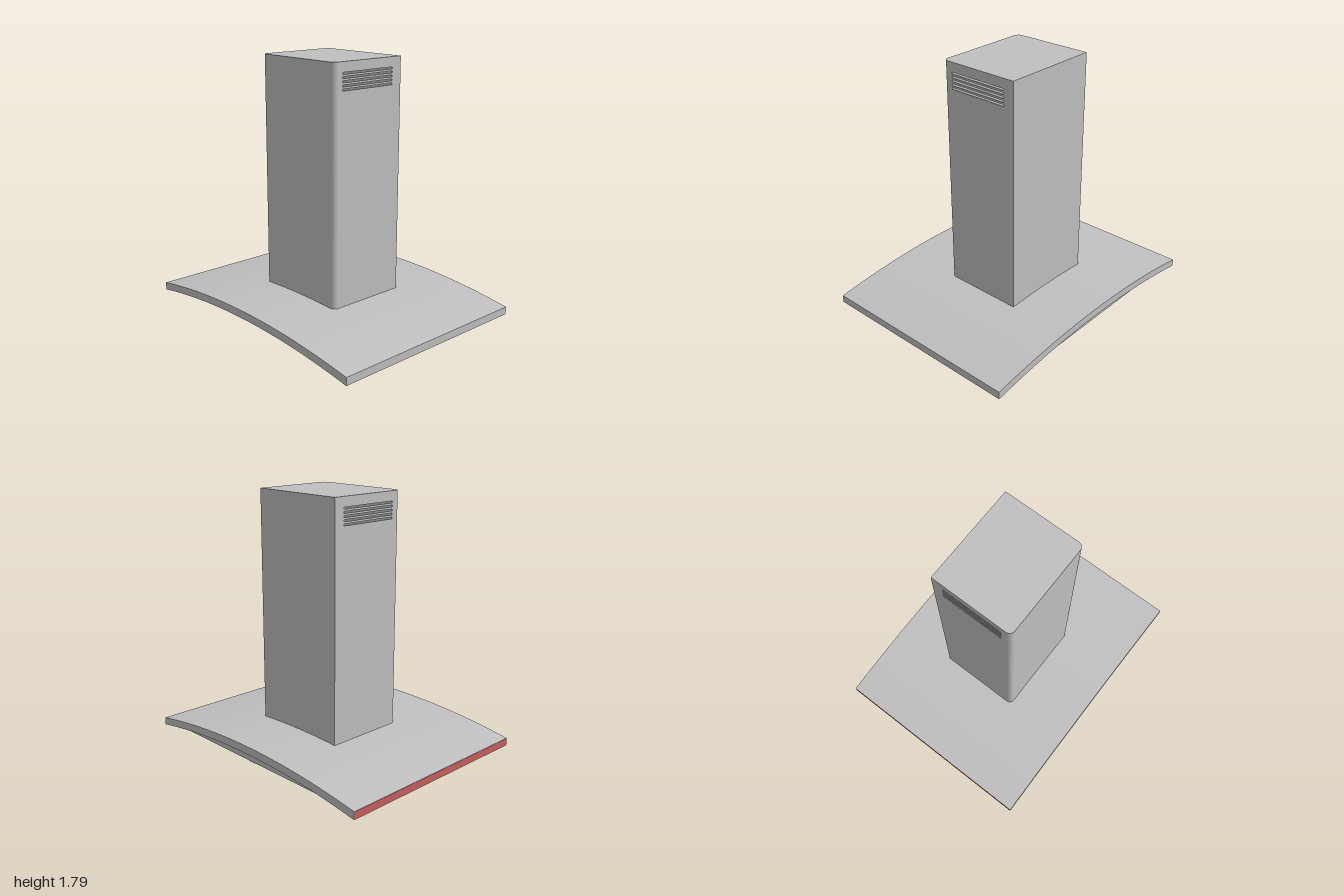
import * as THREE from 'three';
import { mergeGeometries } from 'three/addons/utils/BufferGeometryUtils.js';

export function createModel() {
  const hood = new THREE.Group();
  hood.name = 'rangeHood';

  const steel = new THREE.MeshStandardMaterial({ color: 0xc0c0c0 });
  steel.name = 'steel';
  const red = new THREE.MeshStandardMaterial({ color: 0xc86060 });
  red.name = 'red';

  const add = (name, geometry, material = steel) => {
    const mesh = new THREE.Mesh(geometry, material);
    mesh.name = name;
    hood.add(mesh);
    return mesh;
  };
  // Box given by its minimum and maximum corners
  const box = (x0, x1, y0, y1, z0, z1) =>
    new THREE.BoxGeometry(x1 - x0, y1 - y0, z1 - z0)
      .translate((x0 + x1) / 2, (y0 + y1) / 2, (z0 + z1) / 2);
  // Shape drawn in x and z, pulled down from the height top
  const slab = (shape, top, height) =>
    new THREE.ExtrudeGeometry(shape, { depth: height, bevelEnabled: false, curveSegments: 8 })
      .rotateX(Math.PI / 2).translate(0, top, 0);

  // Arched canopy
  const arch = (x, base) => base + 0.085 * (1 - x * x);
  const N = 32;
  const canopy = new THREE.Shape();
  canopy.moveTo(-1, 0);
  for (let i = 1; i <= N; i++) canopy.lineTo(-1 + 2 * i / N, arch(-1 + 2 * i / N, 0));
  for (let i = N; i >= 0; i--) canopy.lineTo(-1 + 2 * i / N, arch(-1 + 2 * i / N, 0.055));
  const canopyGeometry = new THREE.ExtrudeGeometry(canopy, { depth: 1.535, bevelEnabled: false })
    .translate(0, 0, -0.77);
  add('canopy', canopyGeometry);
  add('redEdge', box(-1.002, -0.999, 0.004, 0.053, -0.768, 0.763), red);

  // Underside panel, its top following the arch
  const panel = new THREE.Shape();
  panel.moveTo(-0.76, 0.017);
  panel.lineTo(0.75, 0.017);
  for (let i = 0; i <= 16; i++) {
    const x = 0.75 - 1.51 * i / 16;
    panel.lineTo(x, arch(x, 0.006));
  }
  add('undersidePanel', new THREE.ExtrudeGeometry(panel, { depth: 1.26, bevelEnabled: false })
    .translate(0, 0, -0.73));

  // Lamps
  for (const x of [-0.56, 0.55]) {
    for (const z of [-0.5, 0.3]) {
      add('lamp', new THREE.CylinderGeometry(0.08, 0.08, 0.02, 32).translate(x, 0.012, z));
    }
  }

  // Filter grille with a notch on one side
  const bars = [];
  const y0 = 0.009, y1 = 0.018;
  for (let i = 0; i <= 22; i++) {
    const x = -0.4 + 0.75 * i / 22;
    if (x > 0.22) {
      bars.push(box(x - 0.008, x + 0.008, y0, y1, -0.56, -0.26));
      bars.push(box(x - 0.008, x + 0.008, y0, y1, -0.1, 0.31));
    } else bars.push(box(x - 0.008, x + 0.008, y0, y1, -0.56, 0.31));
  }
  for (let i = 0; i <= 26; i++) {
    const z = -0.56 + 0.87 * i / 26;
    const end = z > -0.26 && z < -0.1 ? 0.22 : 0.36;
    bars.push(box(-0.41, end, y0 + 0.002, y1, z - 0.008, z + 0.008));
  }
  add('filterGrille', mergeGeometries(bars));
  add('redTab', box(-0.02, 0.05, 0.008, 0.018, -0.72, -0.5), red);

  // Chimney: rounded front, slotted sides, back and lid
  const L = -0.37, R = 0.36, back = -0.32, front = 0.285, r = 0.04, t = 0.008;
  const top = 1.79, bottom = 0.11;
  const shell = new THREE.Shape();
  shell.moveTo(R, front - r);
  shell.absarc(R - r, front - r, r, 0, Math.PI / 2, false);
  shell.absarc(L + r, front - r, r, Math.PI / 2, Math.PI, false);
  shell.absarc(L + r, front - r, r - t, Math.PI, Math.PI / 2, true);
  shell.absarc(R - r, front - r, r - t, Math.PI / 2, 0, true);
  shell.closePath();
  add('chimneyFront', slab(shell, top, top - bottom));

  const lid = new THREE.Shape();
  lid.moveTo(L, back);
  lid.lineTo(R, back);
  lid.absarc(R - r, front - r, r, 0, Math.PI / 2, false);
  lid.absarc(L + r, front - r, r, Math.PI / 2, Math.PI, false);
  lid.closePath();
  add('chimneyLid', slab(lid, top + 0.001, t));
  add('chimneyBack', box(L + t, R - t, bottom, top, back, back + t));

  // Side walls with five vent slots each
  const side = new THREE.Shape();
  side.moveTo(back, bottom);
  side.lineTo(front - r, bottom);
  side.lineTo(front - r, top);
  side.lineTo(back, top);
  side.closePath();
  for (let i = 0; i < 5; i++) {
    const y = 1.61 + 0.0265 * i, h = 0.0065;
    const slot = new THREE.Path();
    slot.moveTo(-0.235, y - h);
    slot.absarc(-0.235, y, h, -Math.PI / 2, Math.PI / 2, true);
    slot.absarc(0.205, y, h, Math.PI / 2, -Math.PI / 2, true);
    slot.closePath();
    side.holes.push(slot);
  }
  for (const x of [R, L + t]) {
    add('chimneySide', new THREE.ExtrudeGeometry(side, { depth: t, bevelEnabled: false, curveSegments: 4 })
      .rotateY(-Math.PI / 2).translate(x, 0, 0));
  }

  return hood;
}
